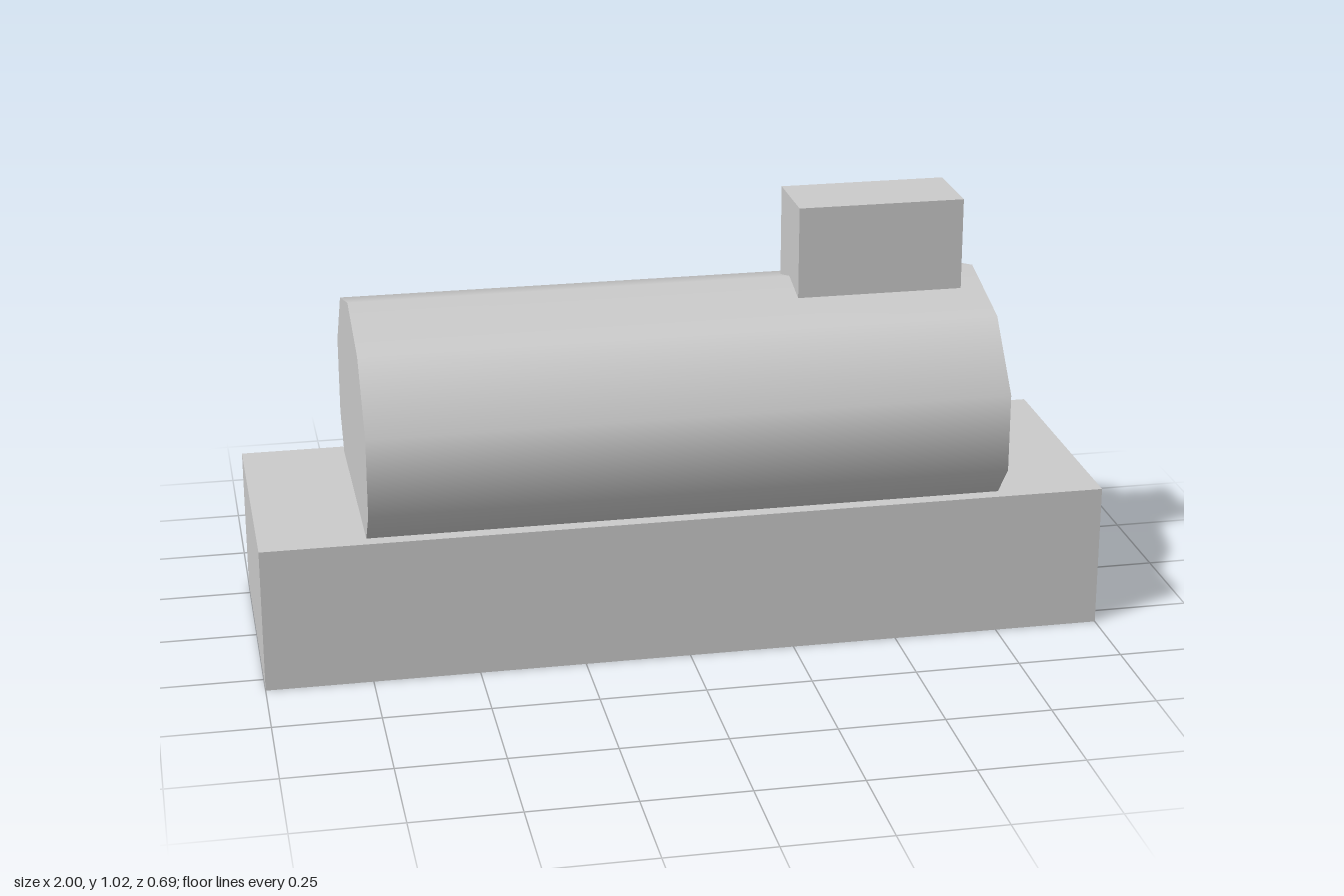
import * as THREE from 'three';

const material = new THREE.MeshStandardMaterial({ color: 0xcccccc });

function addPart(group, name, geometry, x, y, z) {
  const mesh = new THREE.Mesh(geometry, material);
  mesh.name = name;
  mesh.position.set(x, y, z);
  group.add(mesh);
}

export function createModel() {
  const group = new THREE.Group();
  group.name = 'model';

  // Rectangular base slab
  addPart(group, 'base', new THREE.BoxGeometry(2, 0.347, 0.62), 0, 0.1735, 0);

  // Ten-sided, slightly flattened barrel lying along x, with a corner at the top
  const barrel = new THREE.CylinderGeometry(1, 1, 1.504, 10, 1, false, Math.PI / 2);
  barrel.rotateZ(Math.PI / 2);
  barrel.scale(1, 0.303, 0.365);
  addPart(group, 'barrel', barrel, 0, 0.522, 0);

  // Block sunk into the top of the barrel
  addPart(group, 'topBlock', new THREE.BoxGeometry(0.397, 0.25, 0.186), 0.4985, 0.895, 0);

  return group;
}
